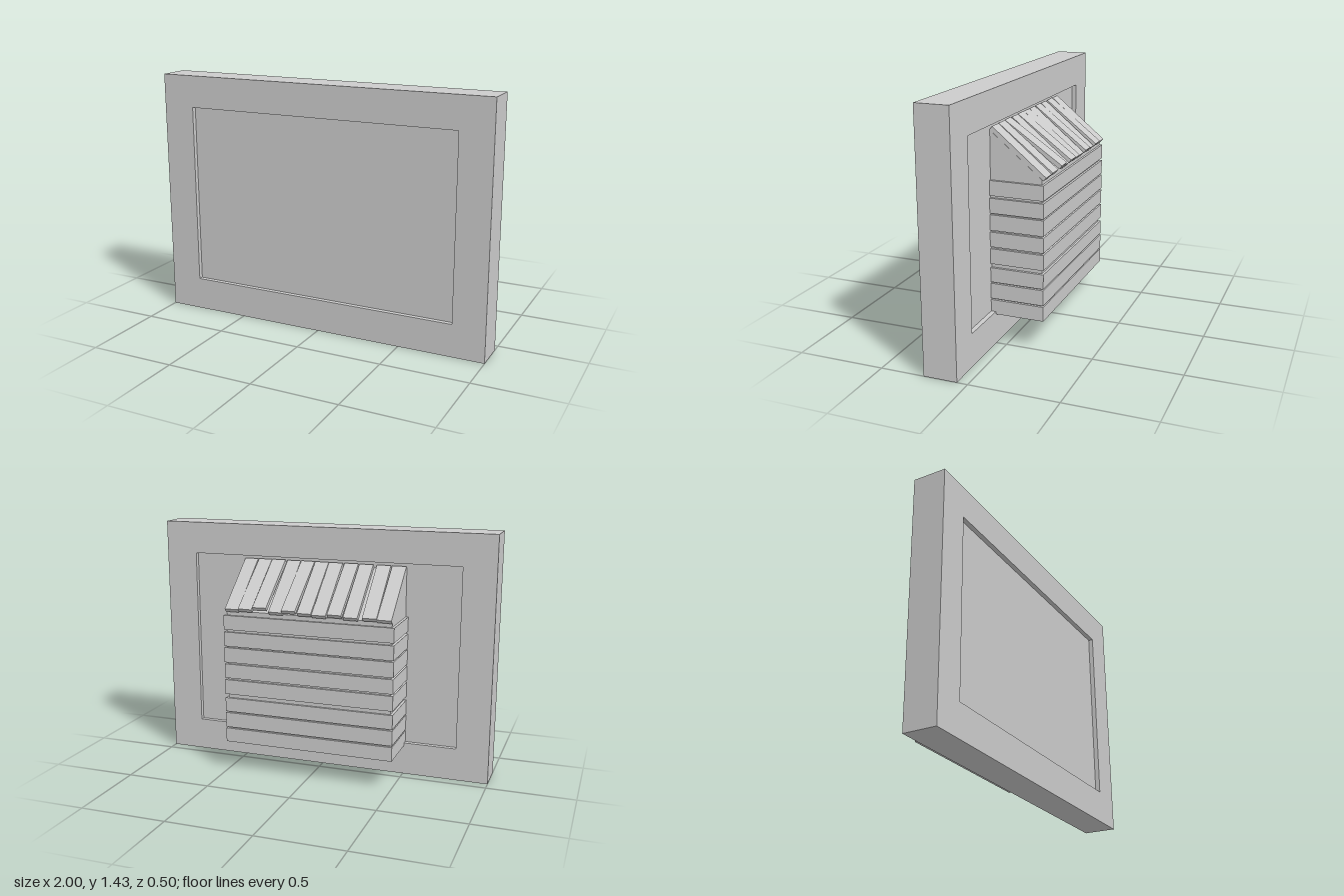
import * as THREE from 'three';

const grey = new THREE.MeshStandardMaterial({ color: 0xcccccc, flatShading: true });

function add(parent, name, geometry, x = 0, y = 0, z = 0) {
  const mesh = new THREE.Mesh(geometry, grey);
  mesh.name = name;
  mesh.position.set(x, y, z);
  parent.add(mesh);
  return mesh;
}

// Box given by its lower and upper bounds on each axis
function boxBetween(parent, name, [x0, x1], [y0, y1], [z0, z1]) {
  return add(parent, name, new THREE.BoxGeometry(x1 - x0, y1 - y0, z1 - z0),
    (x0 + x1) / 2, (y0 + y1) / 2, (z0 + z1) / 2);
}

function rectangle(PathType, x, y0, y1) {
  return new PathType([[-x, y0], [x, y0], [x, y1], [-x, y1]].map(p => new THREE.Vector2(...p)));
}

export function createModel() {
  const model = new THREE.Group();
  model.name = 'wallPanelWithCrate';

  // Thick frame around a panel recessed on both faces
  const outline = rectangle(THREE.Shape, 1, 0, 1.43);
  outline.holes.push(rectangle(THREE.Path, 0.81, 0.19, 1.245));
  add(model, 'frame', new THREE.ExtrudeGeometry(outline, { depth: 0.19, bevelEnabled: false }), 0, 0, 0.06);
  boxBetween(model, 'panel', [-0.81, 0.81], [0.19, 1.245], [0.087, 0.223]);

  // Core with a sloping top, drawn in side profile and extruded across x
  const crate = new THREE.Group();
  crate.name = 'crate';
  model.add(crate);
  const profile = new THREE.Shape([[-0.09, 0.18], [0.207, 0.18], [0.207, 0.965], [-0.09, 1.21]]
    .map(p => new THREE.Vector2(...p)));
  const core = new THREE.ExtrudeGeometry(profile, { depth: 0.98, bevelEnabled: false });
  core.translate(0, 0, -0.49).rotateY(Math.PI / 2);
  add(crate, 'core', core);

  // Horizontal boards wrapping the core
  const boards = [[0.175, 0.258], [0.266, 0.354], [0.362, 0.445], [0.468, 0.555],
    [0.566, 0.65], [0.66, 0.748], [0.756, 0.84], [0.854, 0.938]];
  boards.forEach((span, i) => boxBetween(crate, `board${i + 1}`, [-0.505, 0.505], span, [-0.22, 0.09]));

  // Uneven roof slats: centre x, reach towards the back, slight skew
  const slats = [[-0.45, 0.23, 0], [-0.36, 0.235, 0.02], [-0.257, 0.23, 0], [-0.168, 0.24, 0],
    [-0.075, 0.23, 0], [0.01, 0.235, 0], [0.096, 0.245, -0.01], [0.182, 0.23, 0],
    [0.278, 0.253, 0.02], [0.362, 0.236, -0.01], [0.45, 0.23, 0]];
  const roof = new THREE.Group();
  roof.name = 'roof';
  crate.add(roof);
  const thickness = 0.024;
  slats.forEach(([x, reach, skew], i) => {
    const startZ = 0.088, startY = 1.21;
    const endZ = -reach + 0.015, endY = 0.73 + reach;
    const length = Math.hypot(startZ - endZ, startY - endY);
    const geometry = new THREE.BoxGeometry(0.082, thickness, length);
    geometry.translate(0, thickness / 2, -length / 2);
    const slat = add(roof, `slat${i + 1}`, geometry, x, startY, startZ);
    slat.rotation.set(-Math.atan2(startY - endY, startZ - endZ), skew, 0);
  });

  return model;
}
